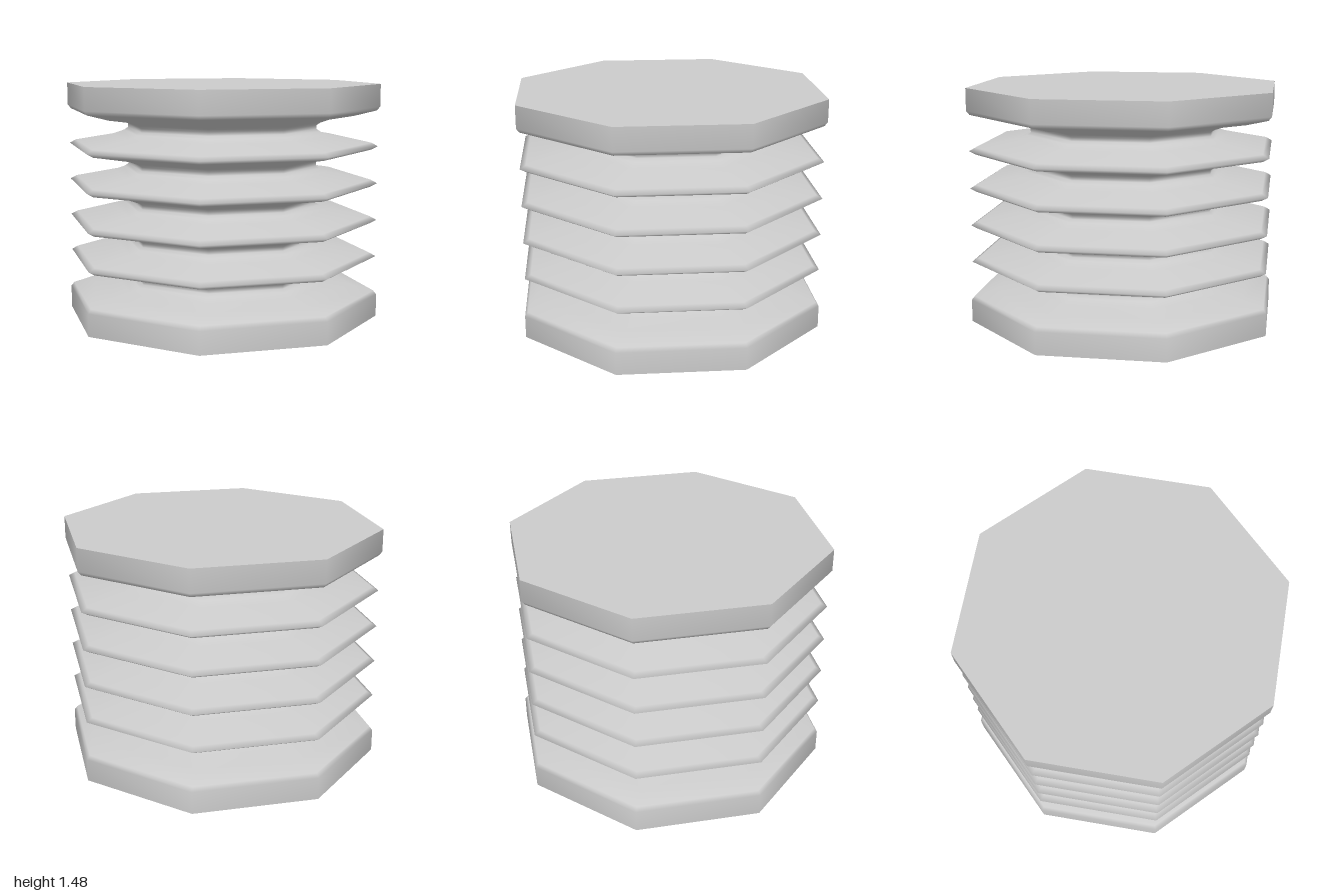
import * as THREE from 'three';

const SIDES = 8, HEIGHT = 1.48, PITCH = 0.234, FOLDS = 5;

export function createModel() {
  const group = new THREE.Group();
  group.name = 'bellows';
  const material = new THREE.MeshStandardMaterial({ color: 0xcccccc });
  const add = (name, geometry) => {
    const mesh = new THREE.Mesh(geometry, material);
    mesh.name = name;
    group.add(mesh);
    return mesh;
  };

  // Profile: lower rim, five valleys with sharp fins between them, upper rim
  const points = [[1, 0], [1, 0.14], [0.98, 0.165], [0.84, 0.2]];
  const flank = [[0.7, 0.052], [0.63, 0.028], [0.605, 0.012]]; // radius, distance from valley
  for (let i = 0; i < FOLDS; i++) {
    const valley = HEIGHT / 2 + (i - (FOLDS - 1) / 2) * PITCH;
    for (const [r, d] of flank) points.push([r, valley - d]);
    for (const [r, d] of [...flank].reverse()) points.push([r, valley + d]);
    if (i < FOLDS - 1) {
      const peak = valley + PITCH / 2;
      points.push([0.95, peak - 0.022], [0.99, peak], [0.95, peak + 0.022]);
    }
  }
  points.push([0.84, HEIGHT - 0.2], [0.98, HEIGHT - 0.165], [1, HEIGHT - 0.14], [1, HEIGHT]);
  add('pleatedWall', new THREE.LatheGeometry(points.map(([r, y]) => new THREE.Vector2(r, y)), SIDES));

  // Flat end plates
  const top = add('topPlate', new THREE.CircleGeometry(1, SIDES));
  top.rotation.x = -Math.PI / 2;
  top.position.y = HEIGHT;
  const bottom = add('bottomPlate', new THREE.CircleGeometry(1, SIDES));
  bottom.rotation.x = Math.PI / 2;

  return group;
}
